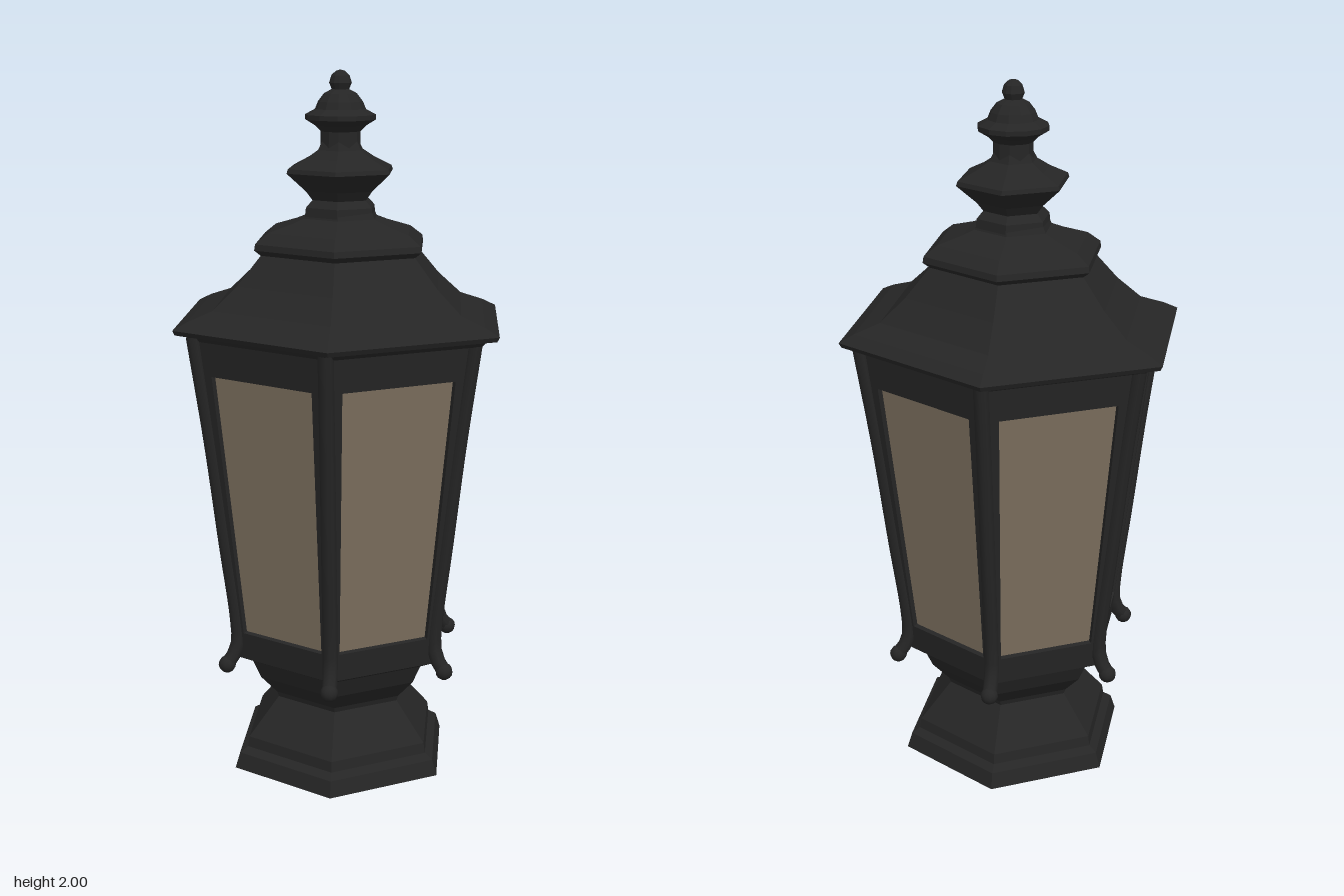
import * as THREE from 'three';

const iron = new THREE.MeshStandardMaterial({ color: 0x252525 });
iron.name = 'blackIron';
const pane = new THREE.MeshStandardMaterial({ color: 0x7c6f5e, side: THREE.DoubleSide });
pane.name = 'smokedGlass';

function add(parent, name, geometry, material) {
  const mesh = new THREE.Mesh(geometry, material);
  mesh.name = name;
  parent.add(mesh);
  return mesh;
}

// Faceted turned part with a corner on the x axis; profile is [radius, y], bottom to top
function turned(profile, sides = 6) {
  const points = profile.map(([r, y]) => new THREE.Vector2(r, y));
  const geometry = new THREE.LatheGeometry(points, sides, Math.PI / 2).toNonIndexed();
  geometry.computeVertexNormals();
  return geometry;
}

// Upright trapezoid from y0 to y1 with half widths w0 and w1
const trapezoid = (w0, y0, w1, y1) =>
  [[-w0, y0], [w0, y0], [w1, y1], [-w1, y1]].map(([x, y]) => new THREE.Vector2(x, y));

export function createModel() {
  const lantern = new THREE.Group();
  lantern.name = 'lantern';

  // Waisted foot under the lamp body
  add(lantern, 'base', turned([
    [0, 0], [0.34, 0], [0.325, 0.045], [0.3, 0.06], [0.295, 0.09], [0.2, 0.2],
    [0.205, 0.215], [0.255, 0.27], [0.28, 0.325], [0.322, 0.345], [0.322, 0.37], [0, 0.37],
  ]), iron);

  // Six leaning sides: framed window, glass and corner post
  const lean = Math.atan2(0.104, 0.95);
  const height = Math.hypot(0.104, 0.95);
  for (let i = 0; i < 6; i++) {
    const side = new THREE.Group();
    side.name = 'side' + (i + 1);
    side.rotation.y = i * Math.PI / 3;
    lantern.add(side);

    const panel = new THREE.Group();
    panel.name = 'windowPanel';
    panel.position.set(0, 0.345, 0.279);
    panel.rotation.x = lean;
    side.add(panel);

    const outline = new THREE.Shape(trapezoid(0.161, 0, 0.221, height));
    outline.holes.push(new THREE.Path(trapezoid(0.137, 0.082, 0.168, 0.85).reverse()));
    const frame = new THREE.ExtrudeGeometry(outline, { depth: 0.025, bevelEnabled: false });
    frame.translate(0, 0, -0.025);
    add(panel, 'windowFrame', frame, iron);

    const glass = new THREE.ShapeGeometry(new THREE.Shape(trapezoid(0.145, 0.07, 0.178, 0.865)));
    glass.translate(0, 0, -0.015);
    add(panel, 'windowGlass', glass, pane);

    // Post runs down the corner and curls outward into a small foot
    const corner = new THREE.Group();
    corner.name = 'cornerPost';
    corner.rotation.y = Math.PI / 6;
    side.add(corner);
    const path = new THREE.CatmullRomCurve3([
      [1.3, 0.442], [1, 0.397], [0.7, 0.359], [0.46, 0.328], [0.39, 0.327], [0.345, 0.346], [0.328, 0.362],
    ].map(([y, z]) => new THREE.Vector3(0, y, z)));
    add(corner, 'postRail', new THREE.TubeGeometry(path, 28, 0.021, 8), iron);
    const foot = new THREE.SphereGeometry(0.025, 10, 8);
    foot.translate(0, 0.33, 0.36);
    add(corner, 'postFoot', foot, iron);
  }

  // Flared eave, concave roof and stepped crown
  const roof = add(lantern, 'roof', turned([
    [0, 1.285], [0.462, 1.285], [0.475, 1.298], [0.508, 1.303], [0.515, 1.316], [0.47, 1.337],
    [0.395, 1.362], [0.32, 1.425], [0.247, 1.505], [0.267, 1.52], [0.264, 1.537], [0.225, 1.565],
    [0.15, 1.587], [0.115, 1.6], [0.105, 1.62], [0, 1.62],
  ]), iron);
  roof.scale.z = 0.955;

  // Six-sided collar above the roof
  add(lantern, 'finialCollar', turned([
    [0, 1.6], [0.108, 1.605], [0.105, 1.63], [0.085, 1.65], [0.105, 1.675], [0.162, 1.725],
    [0.158, 1.737], [0.105, 1.762], [0.068, 1.785], [0.055, 1.81], [0, 1.81],
  ]), iron);

  // Rounded tip
  add(lantern, 'finialTip', turned([
    [0, 1.78], [0.056, 1.785], [0.055, 1.835], [0.07, 1.85], [0.098, 1.867], [0.098, 1.88],
    [0.07, 1.895], [0.062, 1.915], [0.045, 1.937], [0.024, 1.948], [0.031, 1.965],
    [0.025, 1.985], [0.012, 1.997], [0, 2],
  ], 12), iron);

  return lantern;
}
